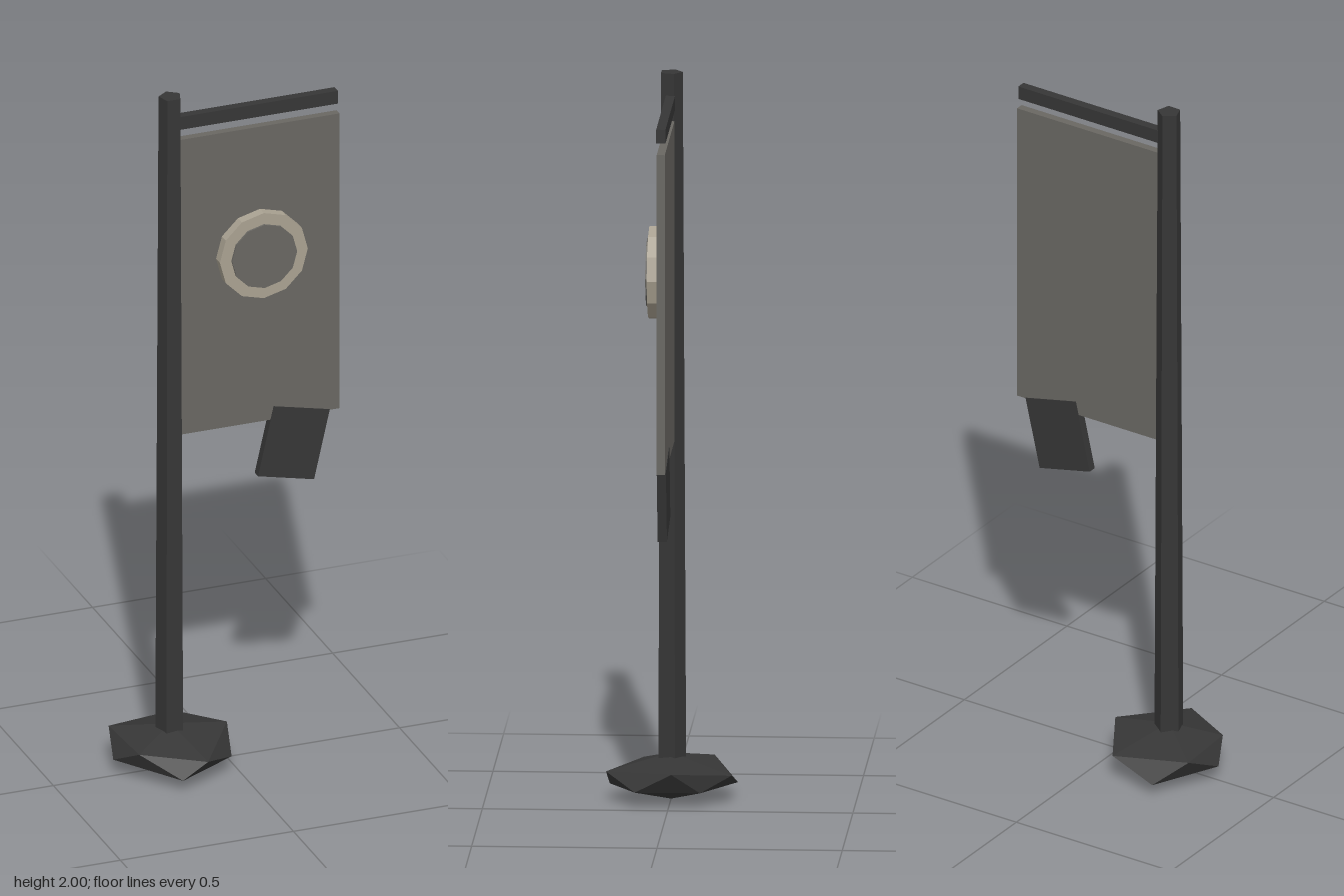
import * as THREE from 'three';

const mat = (name, color) => {
  const m = new THREE.MeshStandardMaterial({ color, flatShading: true });
  m.name = name;
  return m;
};

// Faceted foot stone: two staggered five-point rings closed by a top and a bottom point
function stoneGeometry() {
  const upper = [[0.005, 0.1, -0.01], [-0.12, 0.082, 0.173], [-0.283, 0.09, 0.08], [-0.298, 0.095, -0.11], [-0.09, 0.08, -0.167]];
  const lower = [[-0.02, 0.045, 0.09], [-0.19, 0.035, 0.167], [-0.325, 0.045, -0.005], [-0.225, 0.035, -0.177], [-0.045, 0.04, -0.085]];
  const top = [-0.162, 0.128, 0], bottom = [-0.165, 0, 0];
  const tris = [];
  for (let i = 0; i < 5; i++) {
    const j = (i + 1) % 5;
    tris.push(top, upper[j], upper[i]);
    tris.push(upper[i], upper[j], lower[i]);
    tris.push(lower[i], upper[j], lower[j]);
    tris.push(bottom, lower[i], lower[j]);
  }
  const g = new THREE.BufferGeometry();
  g.setAttribute('position', new THREE.Float32BufferAttribute(tris.flat(), 3));
  g.computeVertexNormals();
  return g;
}

export function createModel() {
  const model = new THREE.Group();
  model.name = 'bannerPost';
  const dark = mat('dark iron', 0x363636);
  const cloth = mat('grey cloth', 0x696762);
  const bone = mat('pale bone', 0xaaa292);

  const add = (name, geometry, material, x = 0, y = 0, z = 0) => {
    const mesh = new THREE.Mesh(geometry, material);
    mesh.name = name;
    mesh.position.set(x, y, z);
    model.add(mesh);
    return mesh;
  };

  // Post and foot
  add('footStone', stoneGeometry(), dark);
  add('pole', new THREE.CylinderGeometry(0.032, 0.041, 1.94, 5), dark, -0.162, 1.03, 0).rotation.y = Math.PI;

  // Crossbar, banner and torn strip
  add('crossbar', new THREE.BoxGeometry(0.477, 0.038, 0.025), dark, 0.0785, 1.92, 0);
  add('banner', new THREE.BoxGeometry(0.462, 0.88, 0.022), cloth, 0.091, 1.43, 0);
  add('tornStrip', new THREE.BoxGeometry(0.166, 0.206, 0.025), dark, 0.19, 0.91, 0).rotation.z = -0.222;

  // Round emblem: pale rim with a cloth-coloured centre
  const disc = (name, radius, depth, material, z) => {
    add(name, new THREE.CylinderGeometry(radius, radius, depth, 12), material, 0.091, 1.5, z).rotation.x = Math.PI / 2;
  };
  disc('emblemRim', 0.127, 0.029, bone, 0.0295);
  disc('emblemCentre', 0.094, 0.009, cloth, 0.0455);

  return model;
}
